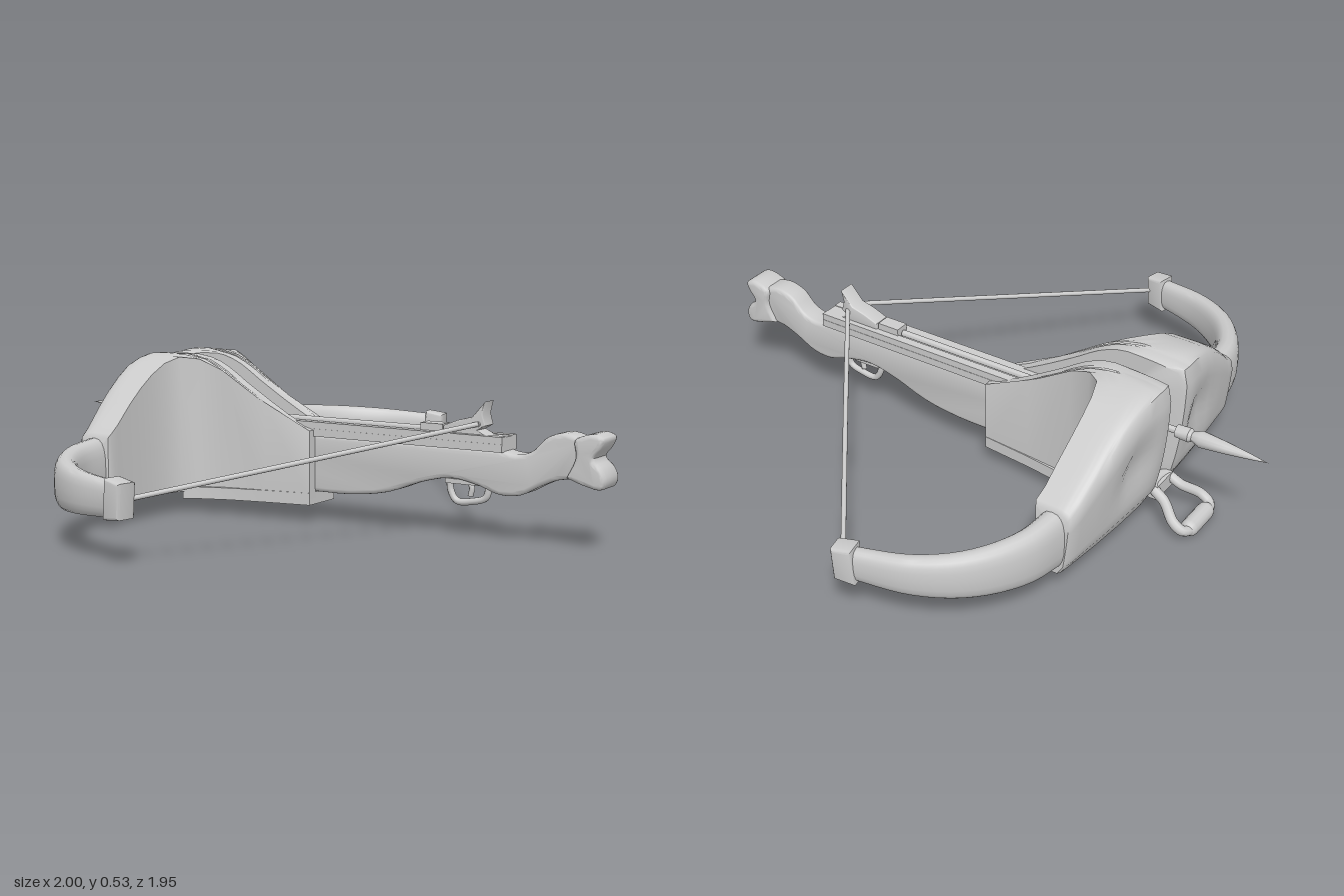
import * as THREE from 'three';
import { toCreasedNormals } from 'three/addons/utils/BufferGeometryUtils.js';

const V = (x, y, z) => new THREE.Vector3(x, y, z);
const mat = new THREE.MeshStandardMaterial({ color: 0xcccccc });

function add(parent, name, geo) {
  const mesh = new THREE.Mesh(geo, mat);
  mesh.name = name;
  parent.add(mesh);
  return mesh;
}

// Closed loft through equal-length rings; winding is corrected from the enclosed volume
function loft(rings, crease = 0.7) {
  const n = rings[0].length, pts = rings.flat(), tris = [];
  for (let i = 0; i < rings.length - 1; i++) {
    for (let j = 0; j < n; j++) {
      const a = i * n + j, b = i * n + (j + 1) % n;
      tris.push([a, b, b + n], [a, b + n, a + n]);
    }
  }
  [0, rings.length - 1].forEach((r, end) => {
    const c = pts.length;
    pts.push(rings[r].reduce((s, p) => s.add(p), V(0, 0, 0)).divideScalar(n));
    for (let j = 0; j < n; j++) {
      const a = r * n + j, b = r * n + (j + 1) % n;
      tris.push(end ? [a, b, c] : [b, a, c]);
    }
  });
  const volume = tris.reduce((s, [a, b, c]) => s + pts[a].dot(pts[b].clone().cross(pts[c])), 0);
  const geo = new THREE.BufferGeometry().setFromPoints(pts);
  geo.setIndex(tris.flatMap(([a, b, c]) => (volume < 0 ? [a, c, b] : [a, b, c])));
  return toCreasedNormals(geo, crease);
}

// Side profile (x, y) extruded symmetrically across z with a soft edge
function slab(points, halfWidth, bevel) {
  const geo = new THREE.ExtrudeGeometry(new THREE.Shape(points.map(p => new THREE.Vector2(...p))), {
    depth: 2 * (halfWidth - bevel), bevelEnabled: bevel > 0, bevelSize: bevel,
    bevelThickness: bevel, bevelOffset: -bevel, bevelSegments: 3,
  });
  geo.translate(0, 0, bevel - halfWidth);
  return toCreasedNormals(geo, 0.75);
}

// Smooth curve points from a few controls
const smooth = (points, n) => new THREE.CatmullRomCurve3(points.map(p => V(p[0], p[1], 0)))
  .getPoints(n).map(p => [p.x, p.y]);

function box(sx, sy, sz, x, y, z) {
  return new THREE.BoxGeometry(sx, sy, sz).translate(x, y, z);
}

function tube(points, r, closed = false, seg = 40) {
  return new THREE.TubeGeometry(new THREE.CatmullRomCurve3(points, closed, 'centripetal'), seg, r, 10, closed);
}

const lerpTable = (table, x) => {
  if (x <= table[0][0]) return table[0][1];
  for (let i = 1; i < table.length; i++) {
    const [x0, y0] = table[i - 1], [x1, y1] = table[i];
    if (x <= x1) return y0 + (y1 - y0) * (x - x0) / (x1 - x0);
  }
  return table[table.length - 1][1];
};

// Shield half: sections across z, the back edge sweeping from side plate to arm
const shieldTop = [[-0.69, 0.54], [-0.5, 0.535], [-0.43, 0.52], [-0.37, 0.492], [-0.3, 0.445],
  [-0.2, 0.385], [-0.12, 0.34], [-0.06, 0.312], [-0.03, 0.305]];
const shieldStations = [ // z, front x, back x, height limit
  [0.038, -0.67, -0.03, 0.53], [0.05, -0.688, -0.03, 0.54], [0.074, -0.69, -0.03, 0.54],
  [0.084, -0.69, -0.2, 0.54], [0.095, -0.69, -0.36, 0.54], [0.118, -0.688, -0.44, 0.538],
  [0.16, -0.684, -0.49, 0.53], [0.22, -0.678, -0.508, 0.512], [0.28, -0.67, -0.513, 0.48],
  [0.34, -0.662, -0.513, 0.44], [0.4, -0.652, -0.51, 0.395], [0.47, -0.641, -0.505, 0.335],
  [0.51, -0.633, -0.5, 0.31], [0.52, -0.625, -0.505, 0.298],
];
function shield(s) {
  const bottom = 0.075, nTop = 18, nFront = 10;
  return loft(shieldStations.map(([z, xF, xB, limit]) => {
    const ring = [];
    const front = y => {
      const dish = 0.03 * Math.exp(-(((z - 0.2) / 0.08) ** 2) - ((y - 0.29) / 0.09) ** 2);
      return xF + 0.055 * Math.max(0, (0.5 - y) / 0.42) ** 2.5 * (1 - z) + dish;
    };
    const xBottom = front(bottom) + 0.015;
    for (let i = 0; i <= 6; i++) ring.push(V(xBottom + (xB - xBottom) * i / 6, bottom, s * z));
    for (let i = 0; i <= nTop; i++) {
      const t = i / nTop, x = xB + (xF + 0.012 - xB) * t;
      const y = Math.min(lerpTable(shieldTop, x), limit) - 0.018 * t ** 8;
      ring.push(V(x, y, s * z));
    }
    const yTop = ring[ring.length - 1].y;
    for (let i = 1; i < nFront; i++) {
      const y = yTop - 0.012 + (bottom + 0.027 - yTop) * i / nFront;
      ring.push(V(front(y), y, s * z));
    }
    return ring;
  }), 0.8);
}

// Curved bow limb with a tall oval section
function limb(s) {
  const path = new THREE.CatmullRomCurve3([V(-0.565, 0, 0.49), V(-0.54, 0, 0.64), V(-0.45, 0, 0.785),
    V(-0.32, 0, 0.878), V(-0.12, 0, 0.935)]);
  const rings = [];
  for (let i = 0; i <= 20; i++) {
    const t = i / 20, p = path.getPointAt(t), d = path.getTangentAt(t);
    const w = 0.046 - 0.018 * t, h = 0.102 - 0.05 * t;
    rings.push(Array.from({ length: 20 }, (_, j) => {
      const a = j / 20 * Math.PI * 2, c = Math.cos(a), q = Math.sin(a);
      const u = w * Math.sign(c) * Math.abs(c) ** 0.75, v = h * Math.sign(q) * Math.abs(q) ** 0.75;
      return V(p.x + d.z * u, 0.195 + v, s * (p.z - d.x * u));
    }));
  }
  return loft(rings);
}

export function createModel() {
  const model = new THREE.Group();
  model.name = 'crossbow';

  // Stock and butt
  add(model, 'stock', slab([
    [-0.62, 0.29], [-0.62, 0.1],
    ...smooth([[-0.03, 0.1], [0.1, 0.102], [0.24, 0.122], [0.36, 0.165], [0.47, 0.188], [0.57, 0.172],
      [0.64, 0.15], [0.71, 0.155], [0.78, 0.19], [0.84, 0.214], [0.92, 0.222]], 30),
    ...smooth([[0.92, 0.345], [0.86, 0.358], [0.8, 0.342], [0.75, 0.295], [0.7, 0.28], [0.64, 0.29]], 16),
  ], 0.042, 0.014));
  add(model, 'butt', slab(smooth([[0.87, 0.225], [0.93, 0.205], [0.985, 0.198], [0.998, 0.225], [0.985, 0.26],
    [0.958, 0.288], [0.98, 0.32], [0.99, 0.35], [0.965, 0.363], [0.92, 0.355], [0.895, 0.34],
    [0.9, 0.29], [0.87, 0.225]], 40).slice(0, -1), 0.056, 0.014));

  // Rail with a groove for the bolt
  add(model, 'railBase', box(1.28, 0.025, 0.1, 0.015, 0.297, 0));
  for (const s of [1, -1]) add(model, 'railEdge', box(1.28, 0.024, 0.03, 0.015, 0.32, s * 0.034));
  add(model, 'railEnd', box(0.08, 0.024, 0.05, 0.615, 0.318, 0));

  // Bolt lying in the groove
  const bolt = new THREE.LatheGeometry([[0, -0.35], [0.011, -0.35], [0.011, 0.69], [0.021, 0.69], [0.023, 0.735],
    [0.016, 0.745], [0.027, 0.775], [0.019, 0.86], [0.009, 0.94], [0, 1]]
    .map(p => new THREE.Vector2(...p)), 16).rotateZ(Math.PI / 2).translate(0, 0.333, 0);
  add(model, 'bolt', toCreasedNormals(bolt, 0.6));
  add(model, 'boltNock', box(0.08, 0.04, 0.05, 0.395, 0.335, 0));

  // String catch with its raised horn
  add(model, 'stringCatch', slab([[0.44, 0.325], [0.44, 0.352], [0.49, 0.372], [0.54, 0.385], [0.585, 0.435],
    [0.576, 0.395], [0.586, 0.36], [0.56, 0.345], [0.6, 0.325]], 0.03, 0.004));

  // Shield halves, limbs, tips and string
  for (const s of [1, -1]) {
    const side = new THREE.Group();
    side.name = s > 0 ? 'leftBow' : 'rightBow';
    model.add(side);
    add(side, 'shield', shield(s));
    add(side, 'limb', limb(s));
    const tip = add(side, 'limbTip', slab([[-0.038, -0.062], [0.03, -0.055], [0.038, 0.052], [-0.03, 0.062]], 0.034, 0.01));
    tip.position.set(-0.122, 0.198, s * 0.934);
    tip.rotation.y = -s * 0.2;
    add(side, 'string', tube([V(-0.105, 0.198, s * 0.93), V(0.225, 0.28, s * 0.485), V(0.56, 0.364, s * 0.03)], 0.008, false, 6));
  }
  add(model, 'stringCentre', tube([V(0.56, 0.364, -0.034), V(0.568, 0.364, 0), V(0.56, 0.364, 0.034)], 0.009, false, 6));

  // Flared plate under the shield
  const edge = [[-0.03, 0.075], [-0.2, 0.088], [-0.33, 0.103], [-0.43, 0.127], [-0.49, 0.152]];
  const plate = slab([...edge, ...edge.map(([x, z]) => [x, -z]).reverse()], 0.02, 0);
  add(model, 'underPlate', plate.rotateX(Math.PI / 2).rotateZ(0.02).translate(0, 0.08, 0));

  // Foot stirrup
  const half = [[-0.64, 0.125, 0.04], [-0.69, 0.095, 0.055], [-0.745, 0.058, 0.092], [-0.78, 0.036, 0.085]];
  const loop = [...half.map(p => V(...p)), ...half.map(([x, y, z]) => V(x, y, -z)).reverse()];
  add(model, 'stirrup', tube(loop, 0.017, true, 60));
  add(model, 'stirrupBar', new THREE.CapsuleGeometry(0.029, 0.1, 5, 14).rotateX(Math.PI / 2).translate(-0.782, 0.031, 0));
  add(model, 'stirrupMount', box(0.12, 0.05, 0.1, -0.6, 0.11, 0));

  // Trigger and its guard
  add(model, 'triggerPlate', box(0.15, 0.015, 0.05, 0.52, 0.178, 0));
  add(model, 'triggerGuard', tube([V(0.45, 0.185, 0), V(0.453, 0.145, 0), V(0.475, 0.113, 0), V(0.53, 0.115, 0),
    V(0.578, 0.132, 0), V(0.588, 0.18, 0)], 0.011));
  add(model, 'trigger', tube([V(0.51, 0.185, 0), V(0.528, 0.16, 0), V(0.523, 0.132, 0)], 0.009, false, 12));

  return model;
}
